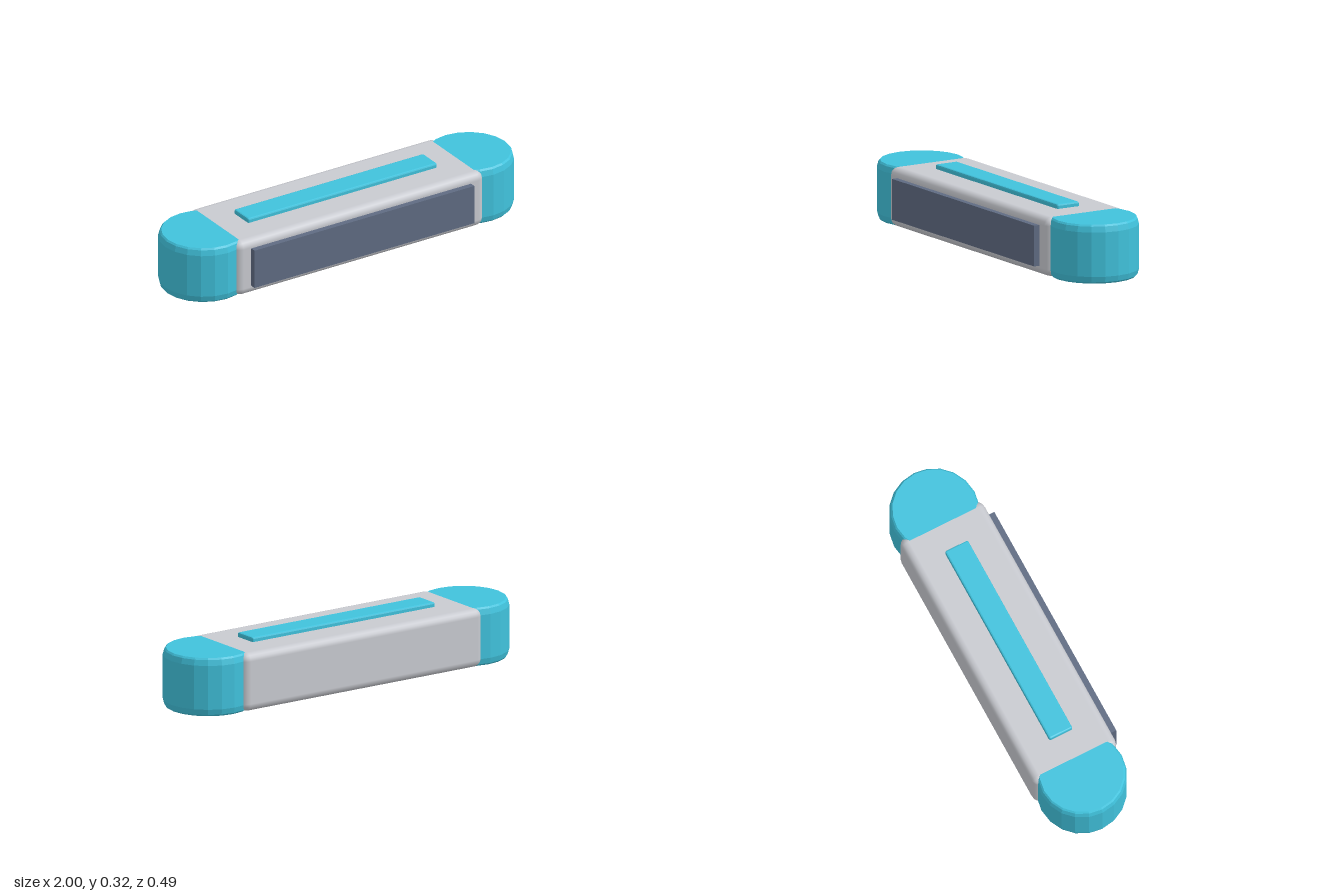
import * as THREE from 'three';
import { RoundedBoxGeometry } from 'three/addons/geometries/RoundedBoxGeometry.js';

const mat = (name, color, flatShading = false) => {
  const m = new THREE.MeshStandardMaterial({ color, flatShading });
  m.name = name;
  return m;
};

export function createModel() {
  const group = new THREE.Group();
  const teal = mat('teal', 0x40c2dc, true);
  const grey = mat('light grey', 0xc8cad0);
  const slate = mat('slate', 0x5f6b82);

  const add = (name, geometry, material, x, y, z) => {
    const mesh = new THREE.Mesh(geometry, material);
    mesh.name = name;
    mesh.position.set(x, y, z);
    group.add(mesh);
  };

  // Long rounded housing
  add('body', new RoundedBoxGeometry(1.454, 0.297, 0.461, 2, 0.04), grey, -0.003, 0.1485, -0.0145);

  // Faceted end caps with softened rims, a hair lower than the housing
  const profile = [
    [0, 0.0006], [0.207, 0.0006], [0.215, 0.009], [0.2225, 0.037],
    [0.2225, 0.26], [0.215, 0.288], [0.207, 0.2964], [0, 0.2964],
  ].map(([r, y]) => new THREE.Vector2(r, y));
  for (const [name, side] of [['leftCap', 1], ['rightCap', -1]]) {
    add(name, new THREE.LatheGeometry(profile, 20), teal, side * 0.7775, 0, -0.0145);
  }

  // Front panel
  add('frontPanel', new THREE.BoxGeometry(1.288, 0.205, 0.04), slate, -0.003, 0.15, 0.226);

  // Raised bar on top
  add('topBar', new RoundedBoxGeometry(1.108, 0.04, 0.128, 1, 0.008), teal, -0.003, 0.3, -0.0125);

  return group;
}
